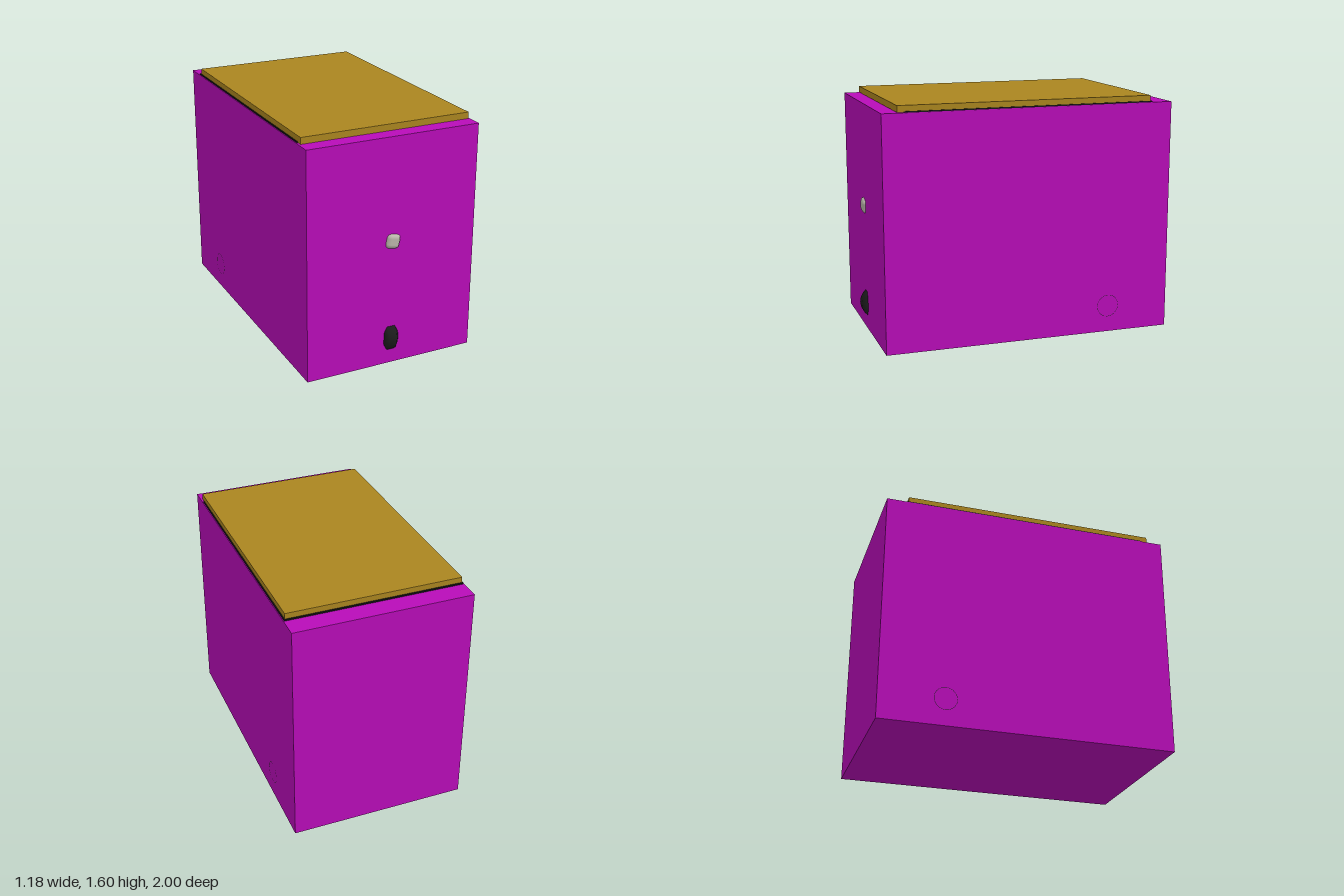
import * as THREE from 'three';
import { RoundedBoxGeometry } from 'three/addons/geometries/RoundedBoxGeometry.js';

const mat = (color) => new THREE.MeshStandardMaterial({ color });

export function createModel() {
  const model = new THREE.Group();
  const purple = mat(0xb80cb8), gold = mat(0xaa851f), black = mat(0x161616);
  const ivory = mat(0xbab6aa), rubber = mat(0x1c1c1c);

  const add = (name, geometry, material, x, y, z) => {
    const mesh = new THREE.Mesh(geometry, material);
    mesh.name = name;
    mesh.position.set(x, y, z);
    model.add(mesh);
    return mesh;
  };

  // Main body
  add('body', new THREE.BoxGeometry(1.184, 1.55, 1.96), purple, 0, 0.775, -0.02);

  // Lid resting on a thin dark gasket
  add('gasket', new THREE.BoxGeometry(1.174, 0.008, 1.68), black, 0, 1.554, -0.022);
  add('lid', new THREE.BoxGeometry(1.16, 0.043, 1.71), gold, 0, 1.5735, 0.003);

  // Slightly tilted knob sunk into the front
  const knob = add('frontKnob', new RoundedBoxGeometry(0.1, 0.1, 0.1, 2, 0.03), ivory, 0, 0.86, 0.93);
  knob.rotation.z = -0.2;

  // Chamfered wheels on an x axis: one in front, two level with the sides
  const profile = [[0, -0.05], [0.08, -0.05], [0.11, -0.027], [0.11, 0.027], [0.08, 0.05], [0, 0.05]]
    .map(([r, h]) => new THREE.Vector2(r, h));
  const wheel = new THREE.LatheGeometry(profile, 20).rotateZ(Math.PI / 2);
  add('frontWheel', wheel, rubber, 0, 0.18, 0.89);

  // Rear wheels are recessed, only their rounded rims reach the body sides
  for (const side of [-1, 1]) {
    const label = side > 0 ? 'left' : 'right';
    add(label + 'RearWheel', wheel, rubber, side * 0.535, 0.18, -0.57);
    const rim = add(label + 'RearRim', new THREE.TorusGeometry(0.075, 0.012, 8, 20), rubber, side * 0.5805, 0.18, -0.57);
    rim.rotation.y = Math.PI / 2;
  }
  return model;
}
